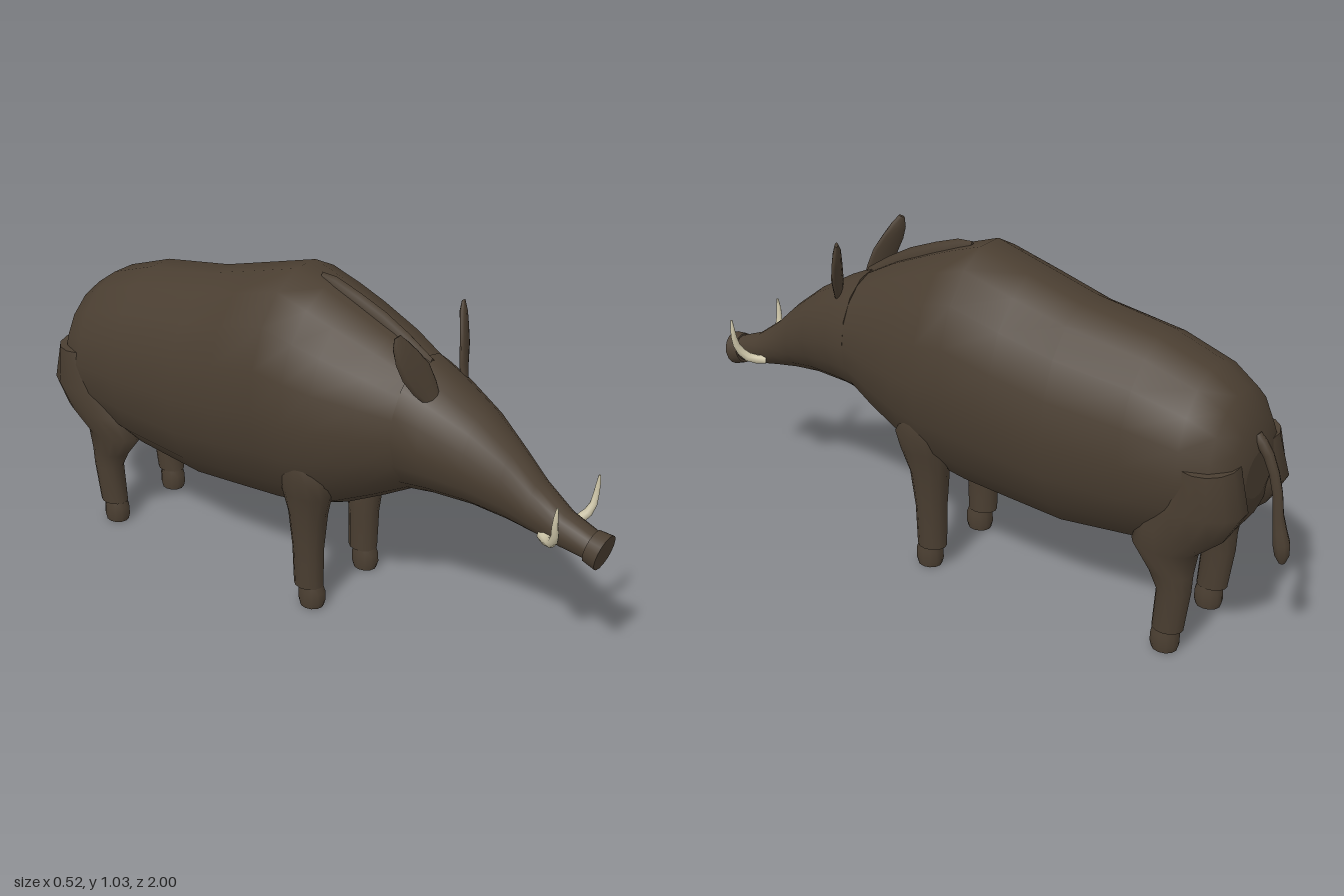
import * as THREE from 'three';

const hide = new THREE.MeshStandardMaterial({ color: 0x4a3e31 });
hide.name = 'brown hide';
const ivory = new THREE.MeshStandardMaterial({ color: 0xcdc5a8 });
ivory.name = 'ivory';

// Smooth skin over elliptical rings { c: centre, u, v: half axes }, with flat end caps.
function loft(name, rings, sides, material = hide) {
  const pos = [], index = [];
  const vec = (a) => new THREE.Vector3(...a);
  const mid = Math.floor(rings.length / 2);
  const dir = vec(rings[mid].c).sub(vec(rings[mid - 1].c));
  const flip = vec(rings[mid].u).cross(vec(rings[mid].v)).dot(dir) < 0;
  const tri = (a, b, c) => (flip ? index.push(a, c, b) : index.push(a, b, c));
  const addRing = ({ c, u, v }) => {
    const first = pos.length / 3;
    for (let i = 0; i < sides; i++) {
      const t = (i / sides) * Math.PI * 2;
      for (let k = 0; k < 3; k++) pos.push(c[k] + u[k] * Math.cos(t) + v[k] * Math.sin(t));
    }
    return first;
  };
  const starts = rings.map(addRing);
  for (let r = 0; r + 1 < rings.length; r++) {
    for (let i = 0; i < sides; i++) {
      const j = (i + 1) % sides, a = starts[r], b = starts[r + 1];
      tri(a + i, a + j, b + j);
      tri(a + i, b + j, b + i);
    }
  }
  [rings[0], rings[rings.length - 1]].forEach((ring, end) => {
    const s = addRing(ring);
    for (let i = 1; i + 1 < sides; i++) end ? tri(s, s + i, s + i + 1) : tri(s, s + i + 1, s + i);
  });
  const geo = new THREE.BufferGeometry();
  geo.setAttribute('position', new THREE.Float32BufferAttribute(pos, 3));
  geo.setIndex(index);
  geo.computeVertexNormals();
  const mesh = new THREE.Mesh(geo, material);
  mesh.name = name;
  return mesh;
}

// Upright sections along z: [z, bottom, top, half width]
const alongZ = (rows) => rows.map(([z, lo, hi, w]) => (
  { c: [0, (lo + hi) / 2, z], u: [w, 0, 0], v: [0, (hi - lo) / 2, 0] }));

// Level sections up a leg: [y, x, half width, z, half depth], mirrored by side
const alongY = (rows, side) => rows.map(([y, x, w, z, d]) => (
  { c: [x * side, y, z], u: [w, 0, 0], v: [0, 0, d] }));

// Tapered round strand through points, with a radius for each ring
function strand(name, points, radii, sides, material) {
  const curve = new THREE.CatmullRomCurve3(points.map((p) => new THREE.Vector3(...p)));
  const n = radii.length - 1;
  const rings = radii.map((r, i) => {
    const tangent = curve.getTangent(i / n);
    const u = new THREE.Vector3(1, 0, 0).addScaledVector(tangent, -tangent.x).normalize();
    const v = tangent.clone().cross(u).multiplyScalar(r);
    return { c: curve.getPoint(i / n).toArray(), u: u.multiplyScalar(r).toArray(), v: v.toArray() };
  });
  return loft(name, rings, sides, material);
}

export function createModel() {
  const boar = new THREE.Group();
  boar.name = 'boar';

  boar.add(loft('body', alongZ([
    [0.42, 0.47, 0.845, 0.16], [0.30, 0.40, 0.91, 0.205], [0.17, 0.33, 0.965, 0.24],
    [0.08, 0.295, 1.0, 0.253], [-0.02, 0.275, 1.033, 0.26], [-0.18, 0.262, 0.985, 0.258],
    [-0.35, 0.245, 0.935, 0.245], [-0.59, 0.272, 0.893, 0.238], [-0.75, 0.31, 0.835, 0.222],
    [-0.83, 0.345, 0.778, 0.195], [-0.875, 0.41, 0.70, 0.15], [-0.892, 0.48, 0.62, 0.08],
  ]), 18));

  boar.add(loft('head', alongZ([
    [0.40, 0.46, 0.862, 0.168], [0.48, 0.472, 0.825, 0.152], [0.60, 0.475, 0.757, 0.118],
    [0.70, 0.463, 0.68, 0.083], [0.78, 0.45, 0.605, 0.065], [0.87, 0.433, 0.54, 0.05],
    [0.96, 0.422, 0.505, 0.042],
  ]), 16));

  // Round nose disc, leaning slightly
  const nose = new THREE.Mesh(new THREE.CylinderGeometry(0.053, 0.048, 0.04, 16), hide);
  nose.name = 'noseDisc';
  nose.position.set(0, 0.46, 0.968);
  nose.rotation.x = Math.PI / 2 + 0.2;
  boar.add(nose);

  // Narrow crest from the head to the shoulders
  boar.add(loft('mane', alongZ([
    [0.42, 0.80, 0.86, 0.012], [0.34, 0.84, 0.912, 0.016], [0.26, 0.88, 0.955, 0.017],
    [0.17, 0.92, 0.99, 0.017], [0.09, 0.95, 1.016, 0.015], [0.04, 0.97, 1.018, 0.008],
  ]), 8));

  // Tail with a thicker tuft
  boar.add(strand('tail',
    [[0, 0.66, -0.875], [0, 0.62, -0.91], [0, 0.53, -0.945], [0, 0.42, -0.96], [0, 0.35, -0.975], [0, 0.30, -0.98]],
    [0.017, 0.017, 0.016, 0.015, 0.015, 0.016, 0.021, 0.025, 0.022, 0.009], 8));

  for (const side of [1, -1]) {
    const label = side > 0 ? 'left' : 'right';

    // Flat leaf-shaped ears: [x, y, z, half width]
    const ear = [[0.08, 0.785, 0.475, 0.026], [0.095, 0.82, 0.462, 0.04], [0.118, 0.87, 0.447, 0.047],
      [0.138, 0.915, 0.43, 0.039], [0.15, 0.95, 0.418, 0.026], [0.158, 0.978, 0.411, 0.01]];
    boar.add(loft(label + 'Ear', ear.map(([x, y, z, w], i) => ({
      c: [x * side, y, z],
      u: [w * 0.87 * side, -w * 0.34, -w * 0.3],
      v: [0, 0.003, i === 5 ? 0.005 : 0.012],
    })), 10));

    // Upward curving tusks
    boar.add(strand(label + 'Tusk',
      [[0.045, 0.47, 0.82], [0.075, 0.477, 0.862], [0.098, 0.512, 0.888], [0.111, 0.56, 0.893], [0.111, 0.612, 0.897]]
        .map(([x, y, z]) => [x * side, y, z]),
      [0.014, 0.015, 0.0145, 0.013, 0.011, 0.009, 0.007, 0.003], 8, ivory));

    boar.add(loft(label + 'FrontLeg', alongY([
      [0.07, 0.137, 0.04, 0.097, 0.047], [0.20, 0.139, 0.043, 0.097, 0.05], [0.32, 0.142, 0.053, 0.099, 0.062],
      [0.40, 0.155, 0.056, 0.105, 0.083], [0.46, 0.175, 0.05, 0.11, 0.082], [0.505, 0.19, 0.03, 0.11, 0.05],
    ], side), 12));

    boar.add(loft(label + 'HindLeg', alongY([
      [0.07, 0.137, 0.038, -0.715, 0.047], [0.20, 0.138, 0.042, -0.728, 0.051], [0.255, 0.137, 0.05, -0.715, 0.066],
      [0.33, 0.135, 0.066, -0.692, 0.1], [0.40, 0.133, 0.083, -0.745, 0.128], [0.485, 0.128, 0.098, -0.79, 0.13],
      [0.61, 0.12, 0.1, -0.80, 0.085],
    ], side), 14));

    for (const [part, z] of [['FrontHoof', 0.108], ['HindHoof', -0.708]]) {
      boar.add(loft(label + part, alongY([
        [0, 0.135, 0.034, z, 0.038], [0.02, 0.135, 0.037, z, 0.044], [0.05, 0.135, 0.036, z, 0.043],
        [0.08, 0.135, 0.03, z - 0.004, 0.036],
      ], side), 12));
    }
  }
  return boar;
}
